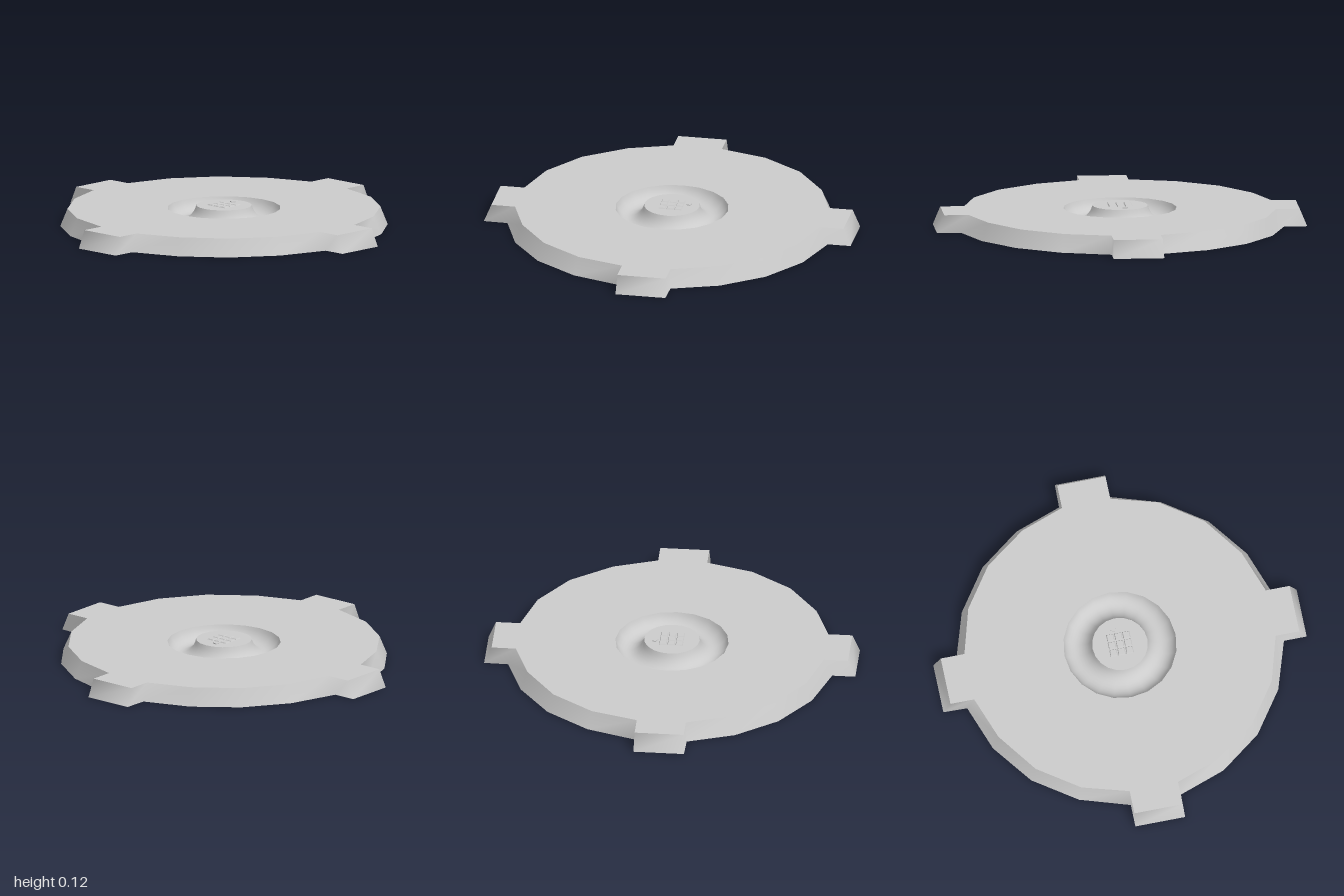
import * as THREE from 'three';

const TOP = 0.096, BUTTON_Y = 0.11, SEGMENTS = 20;
const HOLE_R = 0.305, BUTTON_R = 0.15;

// One quarter of the outline as [x, z], clockwise from above, starting on the back tab.
const FOOT = [[-0.155, -1], [0.118, -1], [0.118, -0.875], [0.385, -0.79], [0.615, -0.63], [0.78, -0.41], [0.87, -0.158]];
const RIM = [[-0.15, -0.96], [0.115, -0.96], [0.115, -0.83], [0.365, -0.758], [0.585, -0.605], [0.745, -0.385], [0.83, -0.15]];

// Repeat a quarter outline four times around y.
function fullOutline(quarter) {
  const loop = [];
  for (let q = 0; q < 4; q++) {
    for (const p of quarter) {
      let [x, z] = p;
      for (let k = 0; k < q; k++) [x, z] = [-z, x];
      loop.push([x, z]);
    }
  }
  return loop;
}

export function createModel() {
  const group = new THREE.Group();
  const material = new THREE.MeshStandardMaterial({ color: 0xcccccc, side: THREE.DoubleSide });
  const add = (name, geometry, parent = group) => {
    const mesh = new THREE.Mesh(geometry, material);
    mesh.name = name;
    parent.add(mesh);
    return mesh;
  };
  const foot = fullOutline(FOOT), rim = fullOutline(RIM);

  // Flat top plate with a round opening
  const outline = new THREE.Shape(rim.map(([x, z]) => new THREE.Vector2(x, -z)));
  const circle = [];
  for (let i = 0; i < SEGMENTS; i++) {
    const a = (i / SEGMENTS) * Math.PI * 2;
    circle.push(new THREE.Vector2(HOLE_R * Math.cos(a), HOLE_R * Math.sin(a)));
  }
  outline.holes.push(new THREE.Path(circle));
  add('topPlate', new THREE.ShapeGeometry(outline).rotateX(-Math.PI / 2)).position.y = TOP;

  // Sloping skirt, open underneath, smoothly shaded around the edge
  const n = foot.length, positions = [], index = [];
  for (const [x, z] of foot) positions.push(x, 0, z);
  for (const [x, z] of rim) positions.push(x, TOP, z);
  for (let i = 0; i < n; i++) {
    const j = (i + 1) % n;
    index.push(j, i, n + i, j, n + i, n + j);
  }
  const skirt = new THREE.BufferGeometry();
  skirt.setAttribute('position', new THREE.Float32BufferAttribute(positions, 3));
  skirt.setIndex(index);
  skirt.computeVertexNormals();
  add('skirt', skirt);

  // Rounded trough from the plate down and up to the centre button
  const profile = [];
  for (let i = 0; i <= 12; i++) {
    const t = i / 12;
    profile.push(new THREE.Vector2(
      THREE.MathUtils.lerp(HOLE_R, BUTTON_R, (1 - Math.cos(Math.PI * t)) * 0.35 + t * 0.3),
      THREE.MathUtils.lerp(TOP, BUTTON_Y, t) - 0.072 * Math.sin(Math.PI * t)));
  }
  add('trough', new THREE.LatheGeometry(profile, SEGMENTS));

  // Flat centre button
  add('centreButton', new THREE.CircleGeometry(BUTTON_R, SEGMENTS).rotateX(-Math.PI / 2)).position.y = BUTTON_Y;

  // Three by three pad of small bevelled keys
  const keypad = new THREE.Group();
  keypad.name = 'keypad';
  group.add(keypad);
  const key = new THREE.CylinderGeometry(0.023, 0.028, 0.006, 4).rotateY(Math.PI / 4).toNonIndexed();
  key.computeVertexNormals();
  for (let row = -1; row <= 1; row++) {
    for (let col = -1; col <= 1; col++) {
      add('key', key, keypad).position.set(col * 0.044, BUTTON_Y + 0.003, row * 0.044);
    }
  }

  // Small slanted marker behind the keys
  const marker = new THREE.Shape([[-0.037, 0.085], [-0.012, 0.073], [-0.006, 0.098], [-0.03, 0.104]]
    .map(([x, y]) => new THREE.Vector2(x, y)));
  add('marker', new THREE.ExtrudeGeometry(marker, { depth: 0.005, bevelEnabled: false })
    .rotateX(-Math.PI / 2)).position.y = BUTTON_Y;

  return group;
}
